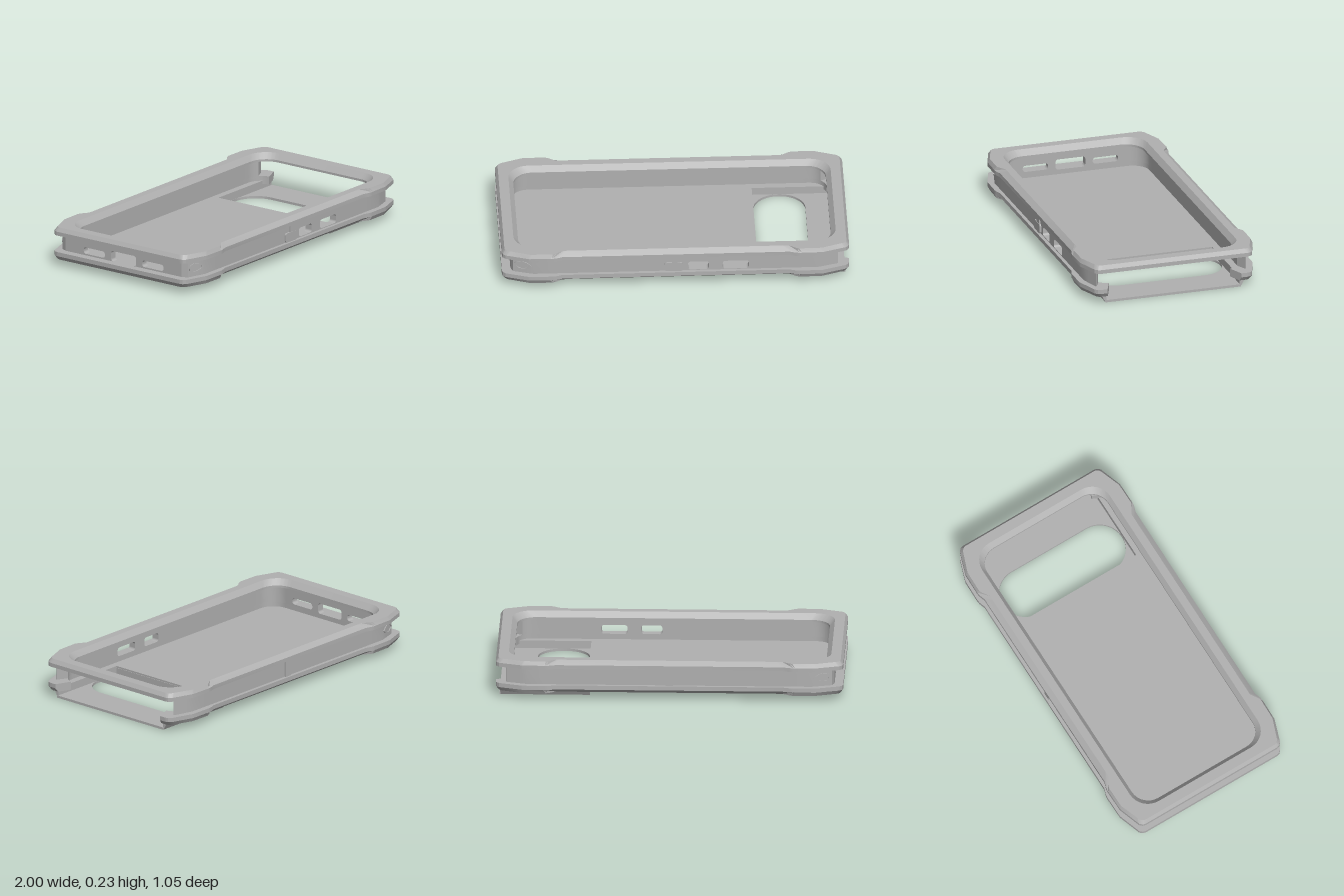
import * as THREE from 'three';
import { toCreasedNormals } from 'three/addons/utils/BufferGeometryUtils.js';

const grey = new THREE.MeshStandardMaterial({ color: 0xb0b0b0, side: THREE.DoubleSide });
grey.name = 'grey';

// Outlines are quarter paths [x, z] from the x axis to the z axis, mirrored into four quadrants.
const outer = [[1, 0], [1, 0.445], [0.995, 0.462], [0.98, 0.477], [0.845, 0.523], [0.71, 0.525], [0.69, 0.522], [0.655, 0.51], [0, 0.51]];
const edge = [[0.985, 0], [0.985, 0.438], [0.98, 0.452], [0.967, 0.465], [0.84, 0.512], [0.71, 0.514], [0.69, 0.505], [0.65, 0.478], [0, 0.478]];
const wallOuter = [[0.95, 0], [0.95, 0.42], [0.935, 0.455], [0.82, 0.49], [0, 0.49]];
function rounded(hx, hz, r) {
  const pts = [[hx, 0]];
  for (let i = 0; i <= 8; i++) {
    const a = (i / 8) * Math.PI / 2;
    pts.push([hx - r + r * Math.cos(a), hz - r + r * Math.sin(a)]);
  }
  return [...pts, [0, hz]];
}
const cavity = rounded(0.91, 0.445, 0.1);
const lipTop = rounded(0.928, 0.432, 0.12);
const lipLow = rounded(0.9, 0.408, 0.11);

// Point where the ray at angle t crosses an outline
function cross(path, t) {
  const c = Math.abs(Math.cos(t)), s = Math.abs(Math.sin(t));
  const f = p => p[0] * s - p[1] * c;
  let i = 0;
  while (i < path.length - 2 && f(path[i + 1]) > 0) i++;
  const [p, q] = [path[i], path[i + 1]];
  const k = f(p) / (f(p) - f(q));
  return [(p[0] + (q[0] - p[0]) * k) * Math.sign(Math.cos(t)), (p[1] + (q[1] - p[1]) * k) * Math.sign(Math.sin(t))];
}

// Solid band around the centre; levels are [outline, y] in order around its cross-section
function band(levels, from, to, capped) {
  const raw = [from, to];
  for (const [path] of levels) for (const p of path) {
    const a = Math.atan2(p[1], p[0]);
    for (let q = 0; q < 4; q++) raw.push(q % 2 ? (q + 1) * Math.PI / 2 - a : q * Math.PI / 2 + a);
  }
  const angles = raw.filter(a => a >= from && a <= to).sort((a, b) => a - b)
    .filter((a, i, all) => i === 0 || a - all[i - 1] > 1e-4);
  const rows = angles.map(t => levels.map(([path, y]) => {
    const [x, z] = cross(path, t);
    return new THREE.Vector3(x, y, z);
  }));
  const tri = [], n = levels.length;
  for (let i = 0; i < rows.length - 1; i++) for (let k = 0; k < n; k++) {
    const a = rows[i][k], b = rows[i][(k + 1) % n], c = rows[i + 1][(k + 1) % n], d = rows[i + 1][k];
    tri.push(a, b, c, a, c, d);
  }
  if (capped) for (const row of [rows[0], rows[rows.length - 1]]) {
    const flat = row.map(p => new THREE.Vector2(Math.hypot(p.x, p.z), p.y));
    for (const face of THREE.ShapeUtils.triangulateShape(flat, [])) tri.push(...face.map(j => row[j]));
  }
  return toCreasedNormals(new THREE.BufferGeometry().setFromPoints(tri), 0.4);
}

// Rounded rectangle, used for panels and for their openings
function roundRect(x0, y0, x1, y1, r, T = THREE.Shape) {
  const s = new T();
  s.absarc(x1 - r, y1 - r, r, 0, Math.PI / 2);
  s.absarc(x0 + r, y1 - r, r, Math.PI / 2, Math.PI);
  s.absarc(x0 + r, y0 + r, r, Math.PI, Math.PI * 1.5);
  s.absarc(x1 - r, y0 + r, r, Math.PI * 1.5, Math.PI * 2);
  s.closePath();
  return s;
}
const rect = (x0, y0, x1, y1) => new THREE.Shape([[x0, y0], [x1, y0], [x1, y1], [x0, y1]].map(p => new THREE.Vector2(...p)));
const hole = (...a) => roundRect(...a, THREE.Path);
function extrude(shape, start, end) {
  return new THREE.ExtrudeGeometry(shape, { depth: end - start, bevelEnabled: false, curveSegments: 10 }).translate(0, 0, start);
}
// Extrusion laid flat: shape is (x, z), thickness runs along y
const slab = (shape, y0, y1) => extrude(shape, -y1, -y0).rotateX(Math.PI / 2);

export function createModel() {
  const model = new THREE.Group();
  model.name = 'protectiveCase';
  const add = (name, geometry) => {
    const mesh = new THREE.Mesh(geometry, grey);
    mesh.name = name;
    model.add(mesh);
    return mesh;
  };

  // Upper bumper with sloping lip, and lower bumper that is open at the camera end
  add('upperBumper', band([[outer, 0.187], [outer, 0.21], [edge, 0.233], [lipTop, 0.233], [lipLow, 0.2], [lipLow, 0.187]], 0, Math.PI * 2, false));
  const gap = Math.atan2(0.405, 1);
  add('lowerBumper', band([[edge, 0.04], [outer, 0.063], [outer, 0.088], [cavity, 0.088], [cavity, 0.04]], gap, Math.PI * 2 - gap, true));

  // Recessed wall: four corners
  const section = [[wallOuter, 0.086], [wallOuter, 0.19], [cavity, 0.19], [cavity, 0.086]];
  const side = Math.atan2(0.49, 0.7), end = Math.atan2(0.35, 0.95), open = Math.atan2(0.445, 0.925);
  for (const [a, b] of [[open, side], [Math.PI - side, Math.PI - end], [Math.PI + end, Math.PI + side], [Math.PI * 2 - side, Math.PI * 2 - open]])
    add('cornerWall', band(section, a, b, true));

  // Side walls, with button openings on the front one
  const buttonWall = rect(-0.72, 0.086, 0.72, 0.19);
  buttonWall.holes.push(hole(0.07, 0.092, 0.19, 0.145, 0.015), hole(0.27, 0.092, 0.42, 0.145, 0.015));
  add('buttonWall', extrude(buttonWall, 0.445, 0.49));
  add('plainWall', extrude(rect(-0.72, 0.086, 0.72, 0.19), -0.49, -0.445));
  add('buttonCover', extrude(roundRect(-0.065, 0.09, 0.04, 0.145, 0.012), 0.48, 0.5));
  for (const s of [-1, 1]) add('sideRib', new THREE.BoxGeometry(0.045, 0.1, 0.02).translate(0, 0.138, s * 0.488));

  // End wall with two sound slots and a charging port
  const endWall = rect(-0.36, 0.086, 0.36, 0.19);
  endWall.holes.push(hole(-0.09, 0.088, 0.09, 0.15, 0.015));
  for (const s of [-1, 1]) endWall.holes.push(hole(s * 0.212 - 0.077, 0.097, s * 0.212 + 0.077, 0.135, 0.016));
  add('portWall', extrude(endWall, 0.91, 0.95).rotateY(-Math.PI / 2));

  // Teardrop strap loops on the two closed corners
  const drop = (T, k) => {
    const s = new T();
    s.moveTo(-0.052 * k, 0);
    s.quadraticCurveTo(-0.045 * k, 0.027 * k, -0.01 * k, 0.027 * k);
    s.quadraticCurveTo(0.03 * k, 0.025 * k, 0.052 * k, 0);
    s.quadraticCurveTo(0.03 * k, -0.025 * k, -0.01 * k, -0.027 * k);
    s.quadraticCurveTo(-0.045 * k, -0.027 * k, -0.052 * k, 0);
    return s;
  };
  for (const s of [-1, 1]) {
    const loop = drop(THREE.Shape, 1);
    loop.holes.push(drop(THREE.Path, 0.75));
    const mesh = add('strapLoop', extrude(loop, -0.004, 0.004));
    mesh.position.set(-0.88, 0.138, s * 0.473);
    mesh.rotation.y = -s * 0.295;
  }

  // Back plate, square at the camera end
  const floor = new THREE.Shape();
  floor.moveTo(0.475, -0.445);
  floor.lineTo(0.475, 0.445);
  floor.absarc(-0.81, 0.345, 0.1, Math.PI / 2, Math.PI);
  floor.absarc(-0.81, -0.345, 0.1, Math.PI, Math.PI * 1.5);
  add('backPlate', slab(floor, 0.04, 0.06));
  for (const [x0, x1, r] of [[-0.87, -0.33, 0.06], [-0.27, 0.27, 0.06], [0.33, 0.42, 0.03]])
    add('backPanel', slab(roundRect(x0, -0.36, x1, 0.36, r), 0.037, 0.042));

  // Camera bump: plate with a wide rounded opening, front step and sloped sides
  const plate = rect(0.46, -0.41, 0.98, 0.41);
  plate.holes.push(hole(0.48, -0.402, 0.78, 0.402, 0.149));
  add('cameraPlate', slab(plate, 0, 0.014));
  add('cameraStep', new THREE.BoxGeometry(0.018, 0.05, 0.82).translate(0.469, 0.025, 0));
  for (const s of [-1, 1]) {
    const rail = new THREE.Shape([[0.403, 0], [0.41, 0], [0.432, 0.04], [0.445, 0.04], [0.445, 0.06], [0.403, 0.06]]
      .map(([z, y]) => new THREE.Vector2(s * z, y)));
    add('cameraRail', extrude(rail, -0.975, -0.46).rotateY(-Math.PI / 2));
  }
  return model;
}
